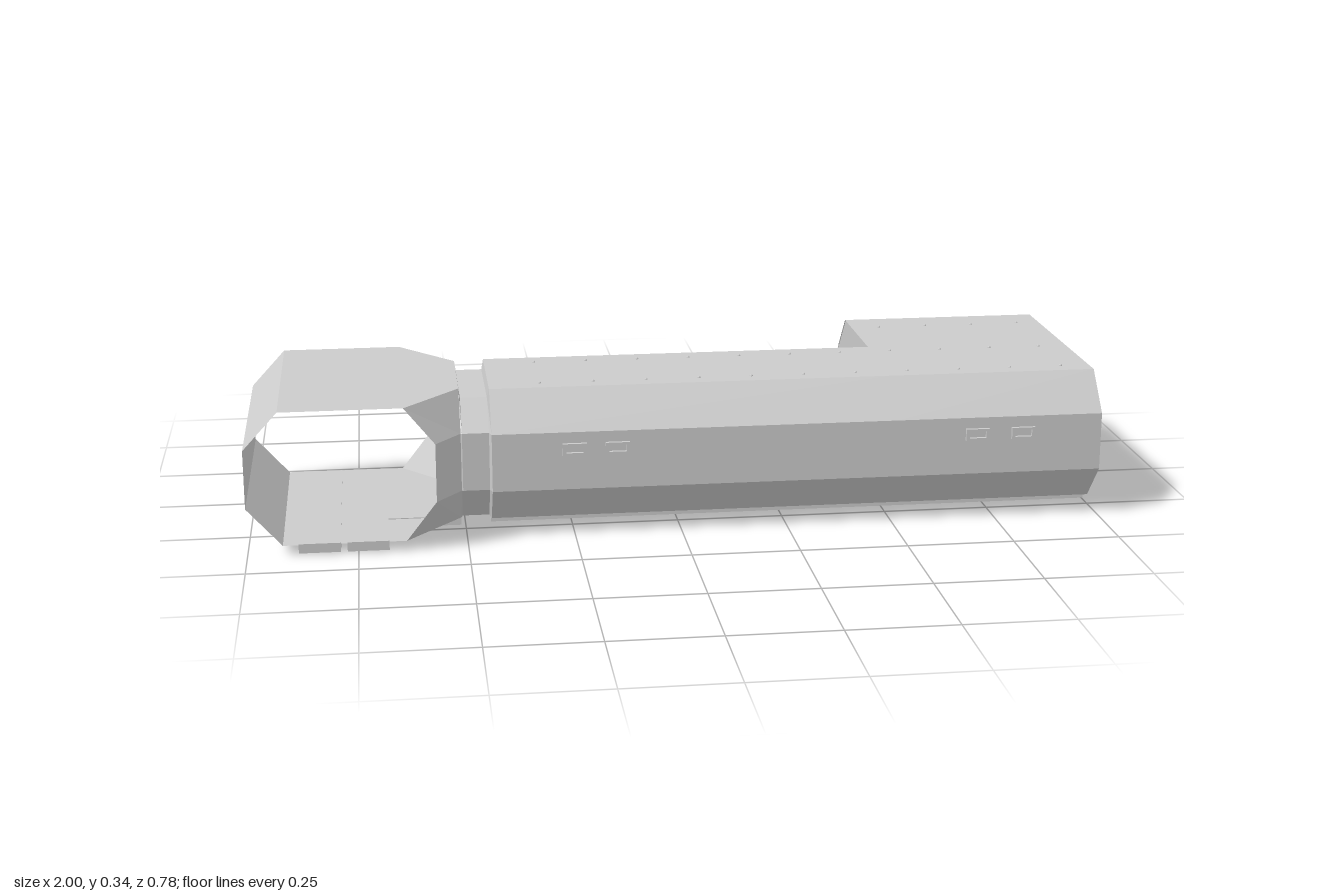
import * as THREE from 'three';

const mat = new THREE.MeshStandardMaterial({ color: 0xcccccc, side: THREE.DoubleSide, flatShading: true });
const smooth = new THREE.MeshStandardMaterial({ color: 0xcccccc, side: THREE.DoubleSide });

function add(parent, name, geo, x = 0, y = 0, z = 0, m = mat) {
  const mesh = new THREE.Mesh(geo, m);
  mesh.name = name;
  mesh.position.set(x, y, z);
  parent.add(mesh);
  return mesh;
}

// box given by its limits
function block(parent, name, x0, x1, y0, y1, z0, z1) {
  return add(parent, name, new THREE.BoxGeometry(x1 - x0, y1 - y0, z1 - z0),
    (x0 + x1) / 2, (y0 + y1) / 2, (z0 + z1) / 2);
}

// faceted skin between successive rows of [x, y, z] points
function skin(parent, name, rows, closed = false) {
  const pos = [];
  for (let r = 0; r < rows.length - 1; r++) {
    const a = rows[r], b = rows[r + 1], n = a.length;
    for (let i = 0; i < (closed ? n : n - 1); i++) {
      const j = (i + 1) % n;
      pos.push(...a[i], ...b[i], ...b[j], ...a[i], ...b[j], ...a[j]);
    }
  }
  const g = new THREE.BufferGeometry();
  g.setAttribute('position', new THREE.Float32BufferAttribute(pos, 3));
  g.computeVertexNormals();
  return add(parent, name, g);
}

// eight-sided hall section as [z, y] points, running over the roof from +z to -z
function octagon(zMax, zMin, y0 = 0.02, y1 = 0.334, cut = 0.08) {
  return [[zMax, 0.11], [zMax, 0.247], [zMax - cut, y1], [zMin + cut, y1],
    [zMin, 0.247], [zMin, 0.11], [zMin + cut, y0], [zMax - cut, y0]];
}
const at = (x, profile) => profile.map(([z, y]) => [x, y, z]);

const HALL = octagon(0.33, -0.105);
const WIDE = octagon(0.33, -0.385);
const PORTAL = octagon(0.31, -0.09, 0.02, 0.334, 0.075);
const COLLAR = octagon(0.312, -0.088, 0.025, 0.312, 0.075);
const DOOR = octagon(0.285, -0.06, 0.03, 0.305, 0.06);

function rod(parent, name, pts, r, m = smooth) {
  const path = new THREE.CurvePath();
  const v = pts.map(p => new THREE.Vector3(...p));
  for (let i = 0; i < v.length - 1; i++) path.add(new THREE.LineCurve3(v[i], v[i + 1]));
  return add(parent, name, new THREE.TubeGeometry(path, (v.length - 1) * 2, r, 12), 0, 0, 0, m);
}

// rectangular window surround
function windowFrame(parent, x, y, z) {
  const s = new THREE.Shape([[-0.028, -0.014], [0.028, -0.014], [0.028, 0.014], [-0.028, 0.014]]
    .map(p => new THREE.Vector2(...p)));
  s.holes.push(new THREE.Path([[-0.02, -0.008], [-0.02, 0.008], [0.02, 0.008], [0.02, -0.008]]
    .map(p => new THREE.Vector2(...p))));
  add(parent, 'windowFrame', new THREE.ExtrudeGeometry(s, { depth: 0.014, bevelEnabled: false }), x, y, z - 0.007);
}

// long hall, its wide end and the collar at the door
function buildHall() {
  const g = new THREE.Group();
  g.name = 'hall';
  skin(g, 'hallShell', [at(-0.44, HALL), at(0.51, HALL)], true);
  skin(g, 'wideShell', [at(0.51, WIDE), at(1, WIDE)], true);
  // wall closing the side bay next to the hall
  const bay = new THREE.Shape([[0.025, 0.334], [0.105, 0.247], [0.105, 0.11], [0.025, 0.02],
    [0.305, 0.02], [0.385, 0.11], [0.385, 0.247], [0.305, 0.334]].map(p => new THREE.Vector2(...p)));
  add(g, 'bayEndWall', new THREE.ShapeGeometry(bay), 0.512).rotation.y = Math.PI / 2;
  block(g, 'baySidePanel', 0.515, 1, 0.11, 0.245, -0.39, -0.38);

  skin(g, 'doorCollar', [at(-0.44, HALL), at(-0.445, COLLAR), at(-0.507, COLLAR), at(-0.51, PORTAL)], true);
  skin(g, 'doorFrame', [at(-0.45, COLLAR), at(-0.455, DOOR), at(-0.5, DOOR), at(-0.505, COLLAR)], true);

  // outside wall panels
  for (const [x0, x1] of [[-0.42, 0.01], [0.06, 0.49]]) {
    const panel = [[-0.1, 0.09], [-0.138, 0.11], [-0.138, 0.247], [-0.1, 0.265]];
    skin(g, 'wallPanel', [at(x0, panel), at(x1, panel)]);
    for (const x of [x0, x1]) block(g, 'wallPanelEnd', x - 0.003, x + 0.003, 0.11, 0.247, -0.138, -0.1);
  }
  // floor plates either side of the centre gap
  block(g, 'floorPlate', -0.44, 1, 0, 0.024, 0.122, 0.215);
  block(g, 'floorPlate', -0.44, 1, 0, 0.024, -0.015, 0.104);

  for (const x of [-0.25, -0.15, 0.7, 0.81]) windowFrame(g, x, 0.207, 0.331);
  for (const x of [0.7, 0.81]) windowFrame(g, x, 0.215, -0.39);

  // small fixings on the roof and floor
  const bolt = new THREE.SphereGeometry(0.004, 8, 6);
  for (let x = -0.32; x < 1; x += 0.125) {
    for (const z of [0.21, 0.02]) add(g, 'roofBolt', bolt, x, 0.334, z, smooth);
    for (const z of [0.2, 0.14, 0.09, 0]) add(g, 'floorBolt', bolt, x, 0.001, z, smooth);
  }
  for (let x = 0.58; x < 1; x += 0.12) add(g, 'roofBolt', bolt, x, 0.334, -0.22, smooth);
  return g;
}

// closed door with two ribs spreading upward from the floor
function buildDoor() {
  const g = new THREE.Group();
  g.name = 'door';
  const s = new THREE.Shape(DOOR.map(([z, y]) => new THREE.Vector2(-z, y)));
  add(g, 'doorLeaf', new THREE.ShapeGeometry(s), -0.49).rotation.y = Math.PI / 2;
  for (const side of [-1, 1]) {
    const z = d => 0.1125 + side * d;
    for (const [b, t] of [[0.017, 0.115], [0.034, 0.132]]) {
      rod(g, 'doorRib', [[-0.482, 0.03, z(b)], [-0.482, 0.303, z(t)]], 0.006, mat);
    }
    const tri = [[0.045, 0.04], [0.13, 0.268], [0.165, 0.205], [0.095, 0.04]]
      .map(([d, y]) => [-0.486, y, z(d)]);
    skin(g, 'doorInset', [[tri[0], tri[1]], [tri[3], tri[2]]]);
    rod(g, 'insetRim', [...tri, tri[0]], 0.003, mat);
  }
  return g;
}

// cross hall along z, funnelling into the door
function buildCrossHall() {
  const g = new THREE.Group();
  g.name = 'crossHall';
  const zA = 0.387, zB = -0.17;
  const side = [[-0.64, 0.334], [-0.92, 0.334], [-1, 0.247], [-1, 0.11], [-0.92, 0.02], [-0.64, 0.02]];
  skin(g, 'crossShell', [zA, zB].map(z => side.map(([x, y]) => [x, y, z])));
  const edge = [[-0.64, 0.334], [-0.57, 0.247], [-0.57, 0.11], [-0.64, 0.02]];
  const jambs = [[2, 1, 0, 7], [3, 4, 5, 6]].map(ids => ids.map(i => at(-0.51, PORTAL)[i]));
  [zA, zB].forEach((z, k) => skin(g, 'funnelWall', [edge.map(([x, y]) => [x, y, z]), jambs[k]]));
  for (const [i, name] of [[0, 'funnelRoof'], [3, 'funnelFloor']]) {
    const y = edge[i][1];
    skin(g, name, [[[-0.64, y, zA], [-0.64, y, zB]], [jambs[0][i], jambs[1][i]]]);
  }
  block(g, 'crossFloorPlate', -0.885, -0.79, 0, 0.022, -0.165, zA);
  block(g, 'crossFloorPlate', -0.775, -0.68, 0, 0.022, -0.165, zA);
  block(g, 'doorSill', -0.68, -0.51, 0, 0.022, -0.01, 0.23);
  return g;
}

// pipes and barrel in the side bay
function buildPipework() {
  const g = new THREE.Group();
  g.name = 'pipework';
  rod(g, 'standPipe', [[0.535, 0.015, -0.178], [0.535, 0.32, -0.178]], 0.007);
  rod(g, 'ceilingPipe', [[0.535, 0.322, -0.178], [0.535, 0.322, 0.12]], 0.006);
  for (const y of [0.085, 0.17, 0.25, 0.322]) {
    add(g, 'pipeCollar', new THREE.CylinderGeometry(0.01, 0.01, 0.01, 16), 0.535, y, -0.178, smooth);
  }
  const bend = new THREE.CatmullRomCurve3([[0.09, -0.227], [0.17, -0.227], [0.205, -0.235],
    [0.224, -0.255], [0.23, -0.285], [0.23, -0.38]].map(([y, z]) => new THREE.Vector3(0.55, y, z)));
  add(g, 'bentPipe', new THREE.TubeGeometry(bend, 32, 0.009, 12), 0, 0, 0, smooth);
  const barrel = [[0, 0], [0.024, 0], [0.026, 0.004], [0.025, 0.025], [0.0265, 0.028], [0.025, 0.031],
    [0.025, 0.053], [0.0265, 0.056], [0.025, 0.059], [0.026, 0.079], [0.024, 0.082], [0, 0.08]];
  add(g, 'barrel', new THREE.LatheGeometry(barrel.map(p => new THREE.Vector2(...p)), 24), 0.55, 0.02, -0.242, smooth);
  return g;
}

export function createModel() {
  const model = new THREE.Group();
  model.name = 'corridor';
  model.add(buildHall(), buildDoor(), buildCrossHall(), buildPipework());
  return model;
}
